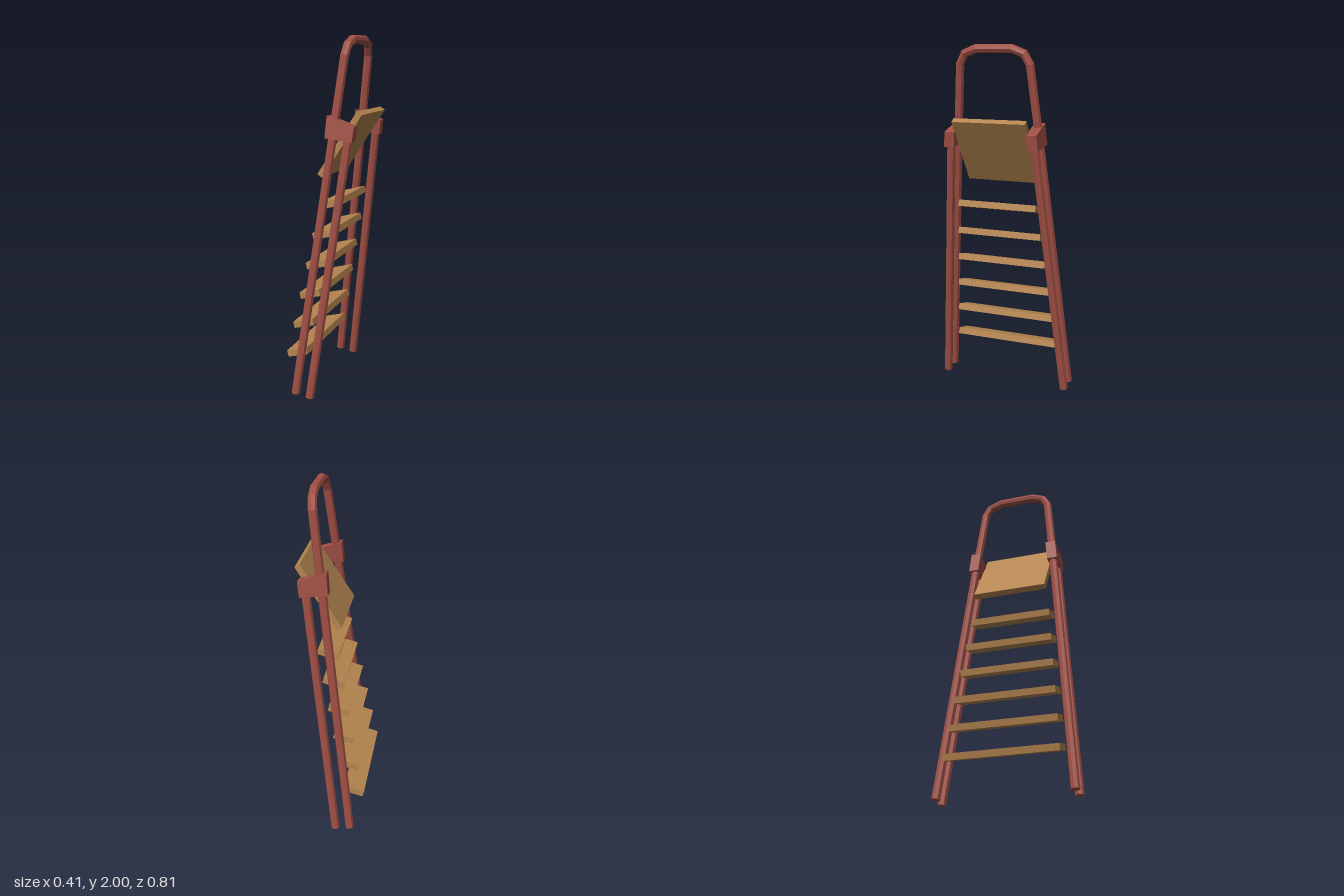
import * as THREE from 'three';

const red = new THREE.MeshStandardMaterial({ color: 0xa04f44, flatShading: true });
red.name = 'red painted metal';
const wood = new THREE.MeshStandardMaterial({ color: 0xb5854f, flatShading: true });
wood.name = 'wood';

const RADIUS = 0.025;
const SIDES = 8;

// Both side frames lean inwards towards the top
const sideZ = (y) => 0.381 - 0.0905 * y;
// Front rail leans along x
const railX = (y) => -0.132 + 0.1225 * y;

// Polyline whose tube rings sit exactly on its corners
class CornerPath extends THREE.Curve {
  constructor(points) {
    super();
    this.points = points;
  }
  index(u) {
    return Math.round(u * (this.points.length - 1));
  }
  getPointAt(u, target = new THREE.Vector3()) {
    return target.copy(this.points[this.index(u)]);
  }
  getTangentAt(u, target = new THREE.Vector3()) {
    const i = this.index(u), p = this.points, n = p.length - 1;
    target.set(0, 0, 0);
    if (i > 0) target.add(p[i].clone().sub(p[i - 1]).normalize());
    if (i < n) target.add(p[i + 1].clone().sub(p[i]).normalize());
    return target.normalize();
  }
}

function addMesh(group, name, geometry, material) {
  const mesh = new THREE.Mesh(geometry, material);
  mesh.name = name;
  group.add(mesh);
  return mesh;
}

// Straight round bar between two points
function addBar(group, name, from, to) {
  const dir = to.clone().sub(from);
  const bar = addMesh(group, name, new THREE.CylinderGeometry(RADIUS, RADIUS, dir.length(), SIDES), red);
  bar.position.copy(from).addScaledVector(dir, 0.5);
  bar.quaternion.setFromUnitVectors(new THREE.Vector3(0, 1, 0), dir.normalize());
}

// Wedge-shaped hinge block, sheared to follow the lean of the side frame
function bracketGeometry(side) {
  const shape = new THREE.Shape([[0.01, 1.455], [0.165, 1.435], [0.176, 1.52], [0.02, 1.575]]
    .map(([x, y]) => new THREE.Vector2(x, y)));
  const geometry = new THREE.ExtrudeGeometry(shape, { depth: 0.06, bevelEnabled: false });
  const pos = geometry.attributes.position;
  for (let i = 0; i < pos.count; i++) {
    pos.setZ(i, pos.getZ(i) - 0.03 + side * sideZ(pos.getY(i)));
  }
  geometry.computeVertexNormals();
  return geometry;
}

export function createModel() {
  const model = new THREE.Group();
  model.name = 'stepladder';

  // Legs and hinge blocks on both sides
  for (const side of [1, -1]) {
    const name = side > 0 ? 'Front' : 'Back';
    const point = (x, y) => new THREE.Vector3(x, y, side * sideZ(y));
    addBar(model, `stepRail${name}`, point(railX(0.018), 0.018), point(railX(1.51), 1.51));
    addBar(model, `supportLeg${name}`, point(-0.045, 0.004), point(0.139, 1.48));
    addMesh(model, `hingeBlock${name}`, bracketGeometry(side), red);
  }

  // Hand rail hoop over the top
  const half = [[1.51, sideZ(1.51)], [1.89, 0.207], [1.948, 0.176], [1.975, 0.105]];
  const hoop = [
    ...half.map(([y, z]) => new THREE.Vector3(railX(y), y, z)),
    ...half.slice().reverse().map(([y, z]) => new THREE.Vector3(railX(y), y, -z)),
  ];
  addMesh(model, 'handRail',
    new THREE.TubeGeometry(new CornerPath(hoop), hoop.length - 1, RADIUS, SIDES), red);

  // Treads, narrowing towards the top
  for (let i = 0; i < 6; i++) {
    const width = 2 * (0.323 - 0.0172 * i);
    const tread = addMesh(model, `tread${i + 1}`, new THREE.BoxGeometry(0.12, 0.037, width), wood);
    tread.position.set(-0.142 + 0.0325 * i, 0.238 + 0.17 * i, 0);
    tread.rotation.z = 0.245;
  }

  // Folded-up platform
  const platform = addMesh(model, 'platform', new THREE.BoxGeometry(0.417, 0.034, 0.434), wood);
  platform.position.set(0.0725, 1.414, 0);
  platform.rotation.z = 0.993;

  return model;
}
